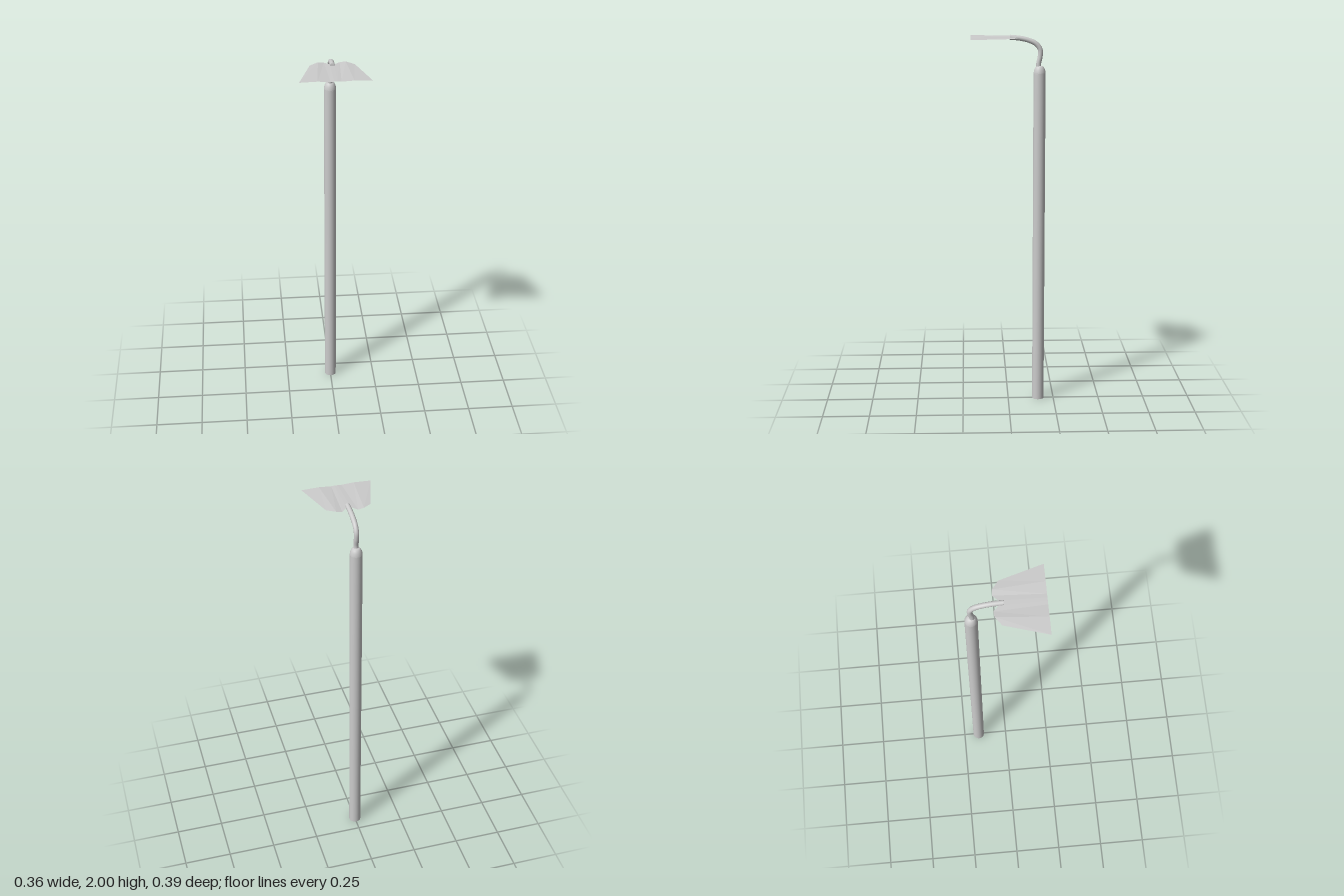
import * as THREE from 'three';

const material = new THREE.MeshStandardMaterial({ color: 0xcccccc });
const BACK = -0.165; // z of the handle axis

function addMesh(group, name, geometry, mat = material) {
  const mesh = new THREE.Mesh(geometry, mat);
  mesh.name = name;
  group.add(mesh);
  return mesh;
}

// Thin sheet made of columns running from the shaped back edge to the straight front edge
function bladeGeometry() {
  // x at back, z at back, x at front, height
  const half = [
    [0.012, -0.032, 0.008, 1.986],
    [0.04, -0.06, 0.027, 1.985],
    [0.07, -0.057, 0.09, 1.989],
    [0.113, -0.025, 0.18, 1.986],
  ];
  const columns = [
    ...half.map(([xb, z, xf, y]) => [-xb, z, -xf, y]).reverse(),
    [0, -0.03, 0, 1.986],
    ...half,
  ];
  const positions = [];
  const indices = [];
  columns.forEach(([xb, zb, xf, y], i) => {
    positions.push(xb, y, zb, xf, y, 0.196);
    if (i > 0) {
      const a = 2 * (i - 1);
      indices.push(a, a + 1, a + 2, a + 1, a + 3, a + 2);
    }
  });
  const geometry = new THREE.BufferGeometry();
  geometry.setAttribute('position', new THREE.Float32BufferAttribute(positions, 3));
  geometry.setIndex(indices);
  geometry.computeVertexNormals();
  return geometry;
}

export function createModel() {
  const group = new THREE.Group();
  group.name = 'hoe';

  // Long round handle
  const handle = addMesh(group, 'handle', new THREE.CylinderGeometry(0.032, 0.032, 1.8, 32));
  handle.position.set(0, 0.9, BACK);

  // Rounded ferrule closing the handle's top
  const profile = [[0.032, 1.79], [0.032, 1.8], [0.029, 1.817], [0.023, 1.83], [0.016, 1.837], [0, 1.839]];
  const ferrule = addMesh(group, 'ferrule',
    new THREE.LatheGeometry(profile.map(([r, y]) => new THREE.Vector2(r, y)), 32));
  ferrule.position.z = BACK;

  // Bent neck sweeping forward to the blade
  const path = new THREE.CatmullRomCurve3([
    [1.815, -0.162], [1.85, -0.16], [1.89, -0.168], [1.925, -0.167],
    [1.953, -0.146], [1.972, -0.105], [1.982, -0.06], [1.987, -0.009],
  ].map(([y, z]) => new THREE.Vector3(0, y, z)));
  addMesh(group, 'neck', new THREE.TubeGeometry(path, 48, 0.013, 20));
  const neckEnd = addMesh(group, 'neckEnd', new THREE.CircleGeometry(0.013, 20));
  neckEnd.position.copy(path.getPoint(1));
  neckEnd.lookAt(path.getPoint(1).add(path.getTangent(1)));

  // Thin flared blade with a notch for the neck
  const bladeMaterial = material.clone();
  bladeMaterial.side = THREE.DoubleSide;
  bladeMaterial.flatShading = true;
  addMesh(group, 'blade', bladeGeometry(), bladeMaterial);

  return group;
}
